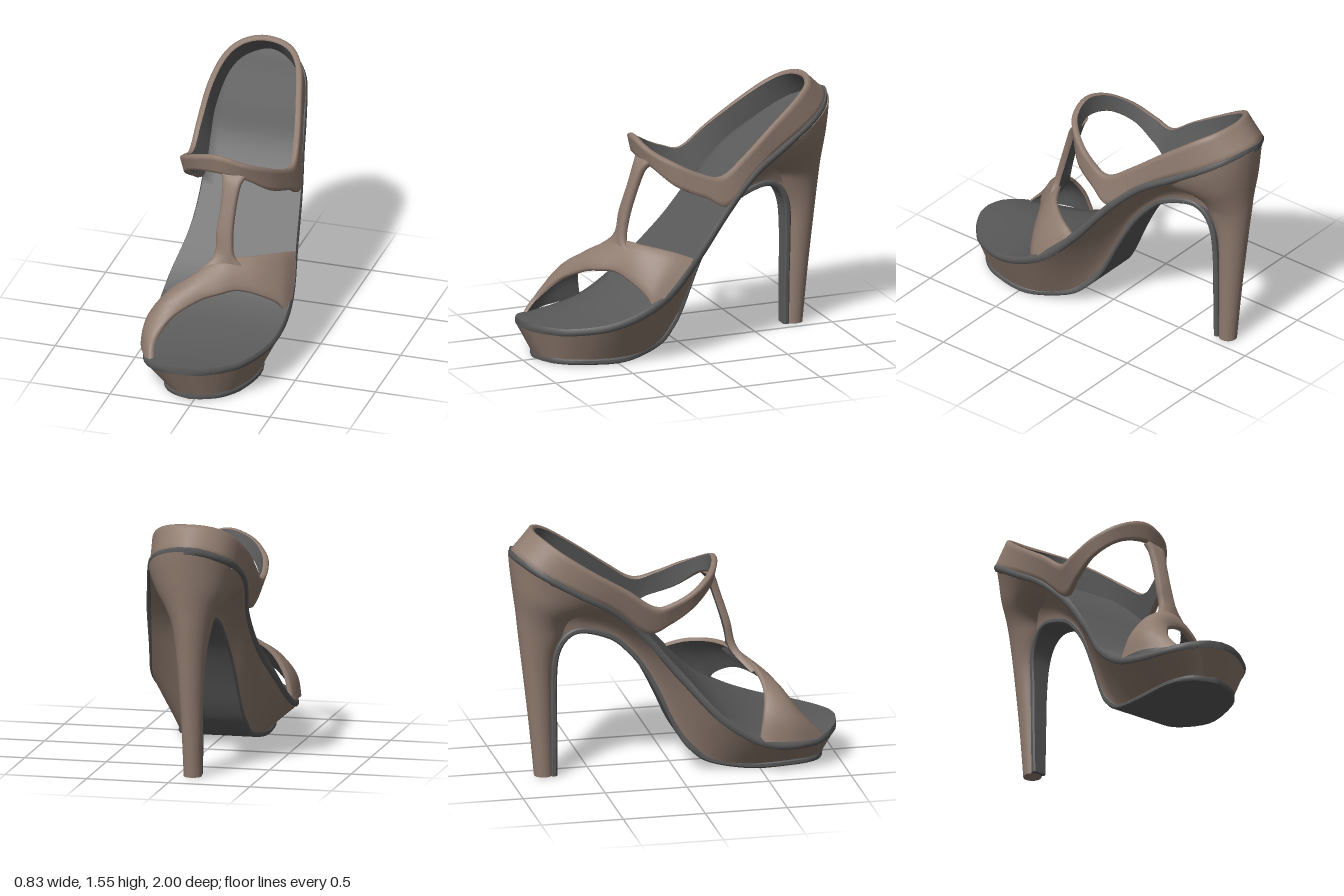
import * as THREE from 'three';
import { toCreasedNormals } from 'three/addons/utils/BufferGeometryUtils.js';

const V = (x, y, z) => new THREE.Vector3(x, y, z);
const lerp = THREE.MathUtils.lerp;

const tan = new THREE.MeshStandardMaterial({ color: 0x8f7b6f, side: THREE.DoubleSide });
tan.name = 'taupe leather';
const dark = new THREE.MeshStandardMaterial({ color: 0x5a5a5a, side: THREE.DoubleSide });
dark.name = 'charcoal lining';

// Smooth interpolation through the rows of a table; t counts rows.
function sample(rows, t, closed = false) {
  const n = rows.length;
  const i = Math.min(Math.floor(t), closed ? n : n - 2);
  const f = t - i;
  const at = k => rows[closed ? (k + n) % n : Math.max(0, Math.min(n - 1, k))];
  const [a, b, c, d] = [at(i - 1), at(i), at(i + 1), at(i + 2)];
  return b.map((p, k) => p + 0.5 * f * (c[k] - a[k] +
    f * (2 * a[k] - 5 * p + 4 * c[k] - d[k] + f * (3 * (p - c[k]) + d[k] - a[k]))));
}

function sampleAll(rows, steps, closed = false) {
  const count = (closed ? rows.length : rows.length - 1) * steps;
  return Array.from({ length: closed ? count : count + 1 }, (_, i) => sample(rows, i / steps, closed));
}

// Skin over a list of cross-sections.
function loft(sections, { ring = false, loop = false, caps = false, crease = 0.7 } = {}) {
  const secs = sections.slice();
  if (caps) {
    const collapse = s => {
      const c = s.reduce((sum, p) => sum.add(p), V(0, 0, 0)).divideScalar(s.length);
      return s.map(() => c);
    };
    secs.unshift(collapse(secs[0]));
    secs.push(collapse(secs[secs.length - 1]));
  }
  const m = secs[0].length, pos = [], idx = [];
  secs.forEach(s => s.forEach(p => pos.push(p.x, p.y, p.z)));
  const tri = (a, b, c) => {
    const P = k => secs[Math.floor(k / m)][k % m];
    if (P(a) !== P(b) && P(b) !== P(c) && P(a) !== P(c)) idx.push(a, b, c);
  };
  for (let i = 0; i < secs.length - (loop ? 0 : 1); i++) {
    for (let j = 0; j < m - (ring ? 0 : 1); j++) {
      const a = i * m + j, b = i * m + (j + 1) % m, i2 = (i + 1) % secs.length;
      const c = i2 * m + j, d = i2 * m + (j + 1) % m;
      tri(a, c, b);
      tri(b, c, d);
    }
  }
  const g = new THREE.BufferGeometry();
  g.setAttribute('position', new THREE.Float32BufferAttribute(pos, 3));
  g.setIndex(idx);
  return toCreasedNormals(g, crease);
}

// Footbed stations: z, left x, right x, top y
const footbed = [
  [1, -.06, -.04, .238], [.985, -.155, .045, .238], [.95, -.225, .115, .238], [.9, -.29, .185, .238],
  [.8, -.355, .28, .243], [.6, -.41, .375, .272], [.4, -.41, .41, .34], [.2, -.385, .4, .46],
  [0, -.318, .36, .67], [-.2, -.303, .325, .91], [-.4, -.345, .275, 1.095], [-.6, -.375, .225, 1.21],
  [-.8, -.36, .165, 1.325], [-.9, -.3, .1, 1.38], [-.95, -.24, .035, 1.41], [-.985, -.18, -.04, 1.43],
  [-1, -.125, -.115, 1.435]];
// Underside of the platform and shank at the same stations: z, left x, right x, y
const under = [
  [.92, -.04, -.02, .03], [.91, -.1, .05, .03], [.89, -.14, .09, .03], [.85, -.185, .145, .03],
  [.77, -.225, .21, .03], [.6, -.25, .265, .03], [.4, -.25, .265, .03], [.2, -.225, .19, .075],
  [0, -.205, .1, .28], [-.2, -.175, .055, .68], [-.4, -.16, .02, .875], [-.6, -.16, -.01, .92],
  [-.74, -.14, -.05, .86]];
// Outsole and heel breast strip: z, y, centre x, half width
const outsolePath = [
  [.925, 0, -.03, .015], [.9, 0, -.03, .1], [.84, 0, -.02, .185], [.7, 0, 0, .25], [.45, 0, .012, .272],
  [.2, .045, -.015, .215], [.08, .13, -.04, .185], [0, .24, -.05, .16], [-.1, .455, -.057, .14],
  [-.2, .64, -.06, .122], [-.3, .765, -.065, .108], [-.4, .845, -.07, .1], [-.56, .893, -.083, .09],
  [-.65, .86, -.09, .08], [-.705, .75, -.093, .07], [-.715, .55, -.095, .055], [-.712, .25, -.1, .05],
  [-.712, 0, -.1, .045]];
// Heel rings: y, back z, front z, half width, centre x, tilt
const heelRings = [
  [0, -.845, -.735, .054, -.1, 0], [.35, -.88, -.74, .065, -.1, 0],
  [.7, -.92, -.735, .085, -.1, 0], [.9, -.945, -.67, .115, -.1, .1], [1, -.957, -.635, .15, -.095, .25],
  [1.09, -.975, -.56, .205, -.09, .45], [1.155, -.99, -.42, .25, -.085, .58], [1.195, -.997, -.32, .277, -.087, .62]];

// Bands: lower edge x y z, upper edge x y z, outward bulge
const collar = [
  [-.05, 1.18, .26, -.06, 1.285, .275, 0], [.1, 1.14, .22, .1, 1.235, .24, 0],
  [.22, 1.035, .1, .21, 1.17, .115, 0], [.29, .965, -.07, .265, 1.105, -.03, 0],
  [.315, .91, -.2, .285, 1.075, -.17, 0], [.275, 1.055, -.36, .265, 1.175, -.33, 0],
  [.22, 1.185, -.55, .215, 1.325, -.53, 0], [.158, 1.31, -.78, .152, 1.46, -.72, 0],
  [.055, 1.39, -.92, .05, 1.525, -.83, 0], [-.11, 1.43, -.985, -.11, 1.545, -.865, 0],
  [-.27, 1.39, -.92, -.25, 1.52, -.82, 0], [-.348, 1.31, -.8, -.34, 1.45, -.72, 0],
  [-.367, 1.195, -.58, -.38, 1.335, -.55, 0], [-.34, 1.07, -.38, -.378, 1.2, -.34, 0],
  [-.315, .915, -.2, -.373, 1.08, -.17, 0], [-.335, .97, -.06, -.378, 1.1, -.04, 0],
  [-.325, 1.065, .085, -.34, 1.17, .11, 0], [-.215, 1.155, .21, -.225, 1.245, .23, 0]];
const vamp = [
  [-.295, .18, .885, -.41, .215, .48, .055], [-.31, .28, .8, -.37, .37, .51, .048],
  [-.225, .41, .69, -.28, .5, .535, .036], [-.08, .495, .59, -.16, .585, .515, .022],
  [.03, .525, .53, -.04, .66, .43, .014], [.13, .53, .46, .06, .685, .385, .012],
  [.26, .485, .4, .2, .68, .3, .014], [.36, .42, .345, .305, .655, .17, .018],
  [.402, .34, .315, .358, .61, .045, .02]];
const strut = [
  [.13, .65, .385, -.15, .59, .5, 0], [.068, .72, .397, -.038, .7, .402, .004],
  [.055, .85, .368, -.03, .85, .368, .004], [.06, 1, .322, -.018, 1, .322, .004],
  [.075, 1.12, .278, -.018, 1.13, .282, .002], [.1, 1.17, .236, -.03, 1.19, .258, 0]];

// The outer forefoot edge dips slightly.
const drop = (x, z) => .45 * Math.min(0, x) ** 2 * THREE.MathUtils.smoothstep(z, 0, .5);
const rimThickness = z => .045 + .03 * Math.exp(-((z / .35) ** 2));

function footbedGeometry() {
  return loft(sampleAll(footbed, 5).map(([z, xl, xr, y]) => {
    const th = rimThickness(z), bevel = Math.min(.01, (xr - xl) / 4), pts = [];
    const add = (x, dy) => pts.push(V(x, y + dy - drop(x, z), z));
    add(xl + bevel, -th);
    add(xl, -th * .7);
    add(xl, -th * .3);
    for (let i = 0; i <= 8; i++) add(lerp(xl + bevel, xr - bevel, i / 8), 0);
    add(xr, -th * .3);
    add(xr, -th * .7);
    for (let i = 0; i <= 8; i++) add(lerp(xr - bevel, xl + bevel, i / 8), -th);
    return pts;
  }), { ring: true, caps: true, crease: .9 });
}

function platformGeometry() {
  const bottoms = sampleAll(under, 5), tops = sampleAll(footbed, 5), N = 8;
  return loft(bottoms.map(([zb, bl, br, yb], k) => {
    const [z, xl, xr, yt] = tops[k];
    const p = 1 + THREE.MathUtils.smoothstep(-z, -.3, .25) * .8;
    const side = (xt, xb) => Array.from({ length: N + 1 }, (_, i) => {
      const v = i / N, top = yt - rimThickness(z) * .9 - drop(xt, z);
      return V(lerp(xt, xb, 1 - (1 - v) ** p), lerp(top, yb, v), lerp(z, zb, v));
    });
    const inset = Math.min(.01, (xr - xl) / 4);
    return [...side(xl + inset, bl), ...side(xr - inset, br).reverse()];
  }), { ring: true, caps: true });
}

function outsoleGeometry() {
  const rows = sampleAll(outsolePath, 5), th = .036;
  return loft(rows.map(([z, y, x, w], i) => {
    const a = rows[Math.max(0, i - 1)], b = rows[Math.min(rows.length - 1, i + 1)];
    const len = Math.hypot(b[0] - a[0], b[1] - a[1]);
    const nz = (b[1] - a[1]) / len, ny = -(b[0] - a[0]) / len;
    const bevel = Math.min(.008, w / 2);
    return [[-w + bevel, 0], [-w, .25], [-w, .75], [-w + bevel, 1], [w - bevel, 1], [w, .75], [w, .25], [w - bevel, 0]]
      .map(([dx, h]) => V(x + dx, y + ny * h * th, z + nz * h * th));
  }), { ring: true, caps: true });
}

function heelGeometry() {
  return loft(sampleAll(heelRings, 5).map(([y, zb, zf, w, x, tilt]) =>
    Array.from({ length: 40 }, (_, i) => {
      const a = i / 40 * Math.PI * 2, dz = Math.cos(a) * (zf - zb) / 2;
      return V(x + Math.sin(a) * w, y - tilt * dz, (zb + zf) / 2 + dz);
    })), { ring: true, caps: true });
}

// A leather band with rounded edges and a separate inner lining.
function band(name, table, closed, th) {
  const rows = sampleAll(table, 6, closed), n = rows.length, M = 6;
  const low = r => V(r[0], r[1], r[2]), high = r => V(r[3], r[4], r[5]);
  const mid = r => low(r).add(high(r)).multiplyScalar(.5);
  const shell = [], lining = [];
  rows.forEach((r, i) => {
    const next = rows[closed ? (i + 1) % n : Math.min(n - 1, i + 1)];
    const prev = rows[closed ? (i - 1 + n) % n : Math.max(0, i - 1)];
    const across = high(r).sub(low(r)).normalize();
    const normal = mid(next).sub(mid(prev)).cross(across).normalize();
    const outer = Array.from({ length: M + 1 }, (_, j) =>
      low(r).lerp(high(r), j / M).addScaledVector(normal, r[6] * Math.sin(Math.PI * j / M)));
    const inner = outer.map(p => p.clone().addScaledVector(normal, -th));
    const edge = (p, s) => [.25, .75].map(d => p.clone().addScaledVector(normal, -th * d).addScaledVector(across, s * .008));
    shell.push([inner[0], ...edge(outer[0], -1).reverse(), ...outer, ...edge(outer[M], 1), inner[M]]);
    lining.push(inner);
  });
  const group = new THREE.Group();
  group.name = name;
  group.add(part(name + 'Shell', loft(shell, { loop: closed, crease: 1.2 }), tan));
  group.add(part(name + 'Lining', loft(lining, { loop: closed, crease: 1.2 }), dark));
  return group;
}

function part(name, geometry, material) {
  const mesh = new THREE.Mesh(geometry, material);
  mesh.name = name;
  return mesh;
}

export function createModel() {
  const shoe = new THREE.Group();
  shoe.name = 'platformSandal';
  shoe.add(
    part('footbed', footbedGeometry(), dark),
    part('platformAndShank', platformGeometry(), tan),
    part('outsole', outsoleGeometry(), dark),
    part('heel', heelGeometry(), tan),
    band('heelCollarAndInstepStrap', collar, true, .036),
    band('toeStrap', vamp, false, .03),
    band('centreStrap', strut, false, .042));
  return shoe;
}
